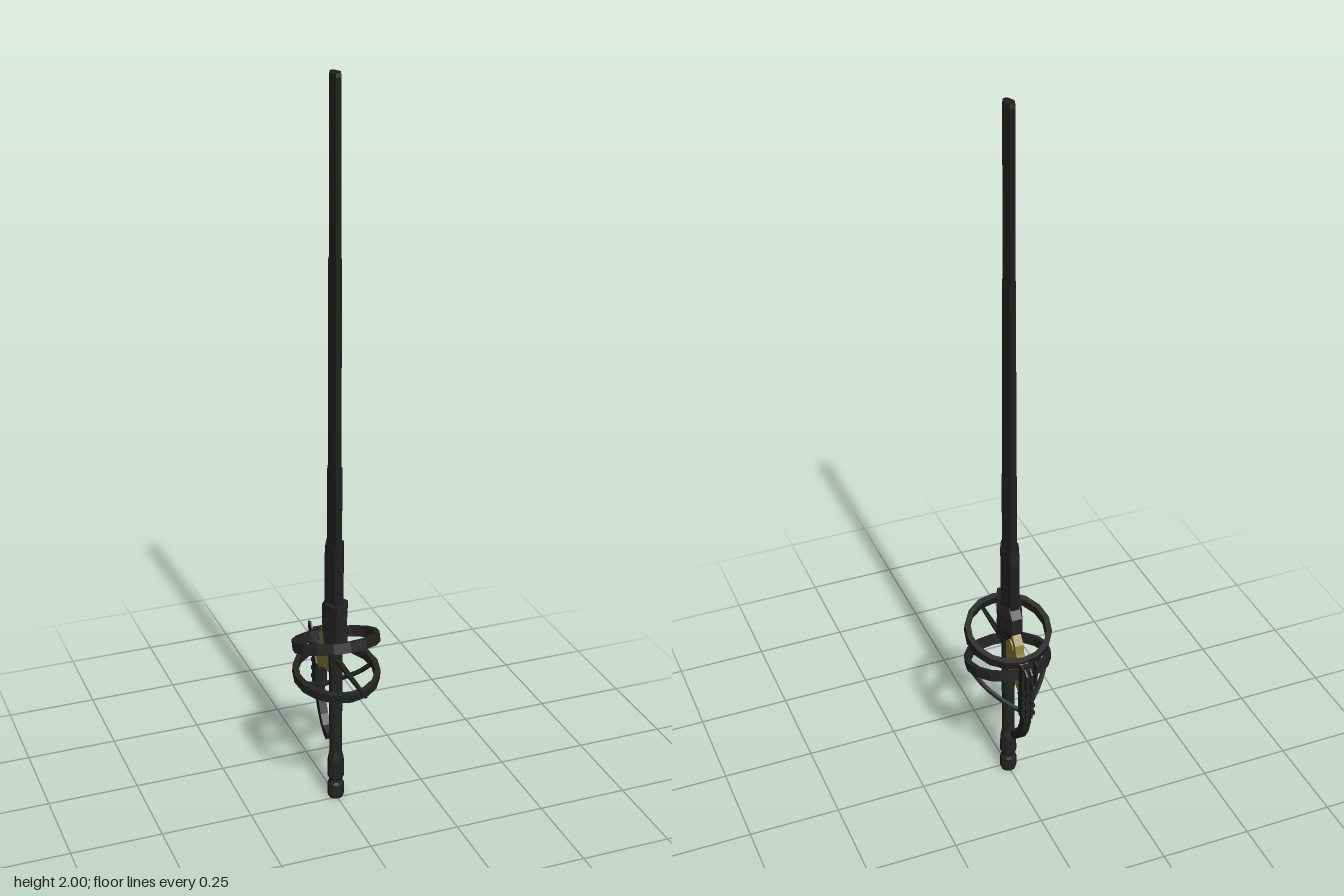
import * as THREE from 'three';

const dark = new THREE.MeshStandardMaterial({ color: 0x232323 });
dark.name = 'blackened steel';
dark.flatShading = true;
const scabbardBlack = new THREE.MeshStandardMaterial({ color: 0x1e1e1e });
scabbardBlack.name = 'scabbard black';
scabbardBlack.flatShading = true;
const gold = new THREE.MeshStandardMaterial({ color: 0x8f8138 });
gold.name = 'old brass';
gold.flatShading = true;

// Hexagonal loft up the y axis; sections are [y, halfWidth, frontZ, backZ]
function hexLoft(sections) {
  const pos = [], idx = [];
  for (const [y, w, f, b] of sections) {
    const c = (f + b) / 2, n = w * 0.42;
    pos.push(w, y, c, n, y, f, -n, y, f, -w, y, c, -n, y, b, n, y, b);
  }
  const last = (sections.length - 1) * 6;
  for (let s = 0; s < last; s += 6) {
    for (let i = 0; i < 6; i++) {
      const j = (i + 1) % 6;
      idx.push(s + i, s + 6 + i, s + j, s + j, s + 6 + i, s + 6 + j);
    }
  }
  for (let i = 1; i < 5; i++) {
    idx.push(0, i, i + 1, last, last + i + 1, last + i);
  }
  const g = new THREE.BufferGeometry();
  g.setAttribute('position', new THREE.Float32BufferAttribute(pos, 3));
  g.setIndex(idx);
  g.computeVertexNormals();
  return g;
}

// Side outline of [z, y] points, extruded across x
function sidePlate(points, width, x = 0) {
  const shape = new THREE.Shape(points.map(([z, y]) => new THREE.Vector2(-z, y)));
  const g = new THREE.ExtrudeGeometry(shape, { depth: width, bevelEnabled: false });
  return g.translate(0, 0, -width / 2).rotateY(Math.PI / 2).translate(x, 0, 0);
}

// Flat hoop with a rectangular section
function hoop(outer, inner, height) {
  const h = height / 2;
  const profile = [[outer, -h], [outer, h], [inner, h], [inner, -h], [outer, -h]];
  return new THREE.LatheGeometry(profile.map(([r, y]) => new THREE.Vector2(r, y)), 16);
}

export function createModel() {
  const root = new THREE.Group();
  root.name = 'sheathedRapier';
  const add = (name, geometry, material = dark) => {
    const m = new THREE.Mesh(geometry, material);
    m.name = name;
    root.add(m);
    return m;
  };

  // Scabbard, stepping wider towards the hilt
  add('scabbard', hexLoft([
    [0.58, 0.027, 0.012, -0.058], [0.73, 0.027, 0.012, -0.058], [0.77, 0.026, 0.012, -0.05],
    [0.77, 0.021, 0.011, -0.05], [0.98, 0.021, 0.011, -0.047],
    [0.98, 0.019, 0.01, -0.047], [1.54, 0.018, 0.01, -0.041],
    [1.54, 0.016, 0.01, -0.04], [1.99, 0.016, 0.01, -0.037], [2, 0.014, 0.008, -0.035],
  ]), scabbardBlack);

  // Collar at the scabbard mouth
  add('collar', hexLoft([
    [0.48, 0.033, 0.03, -0.05], [0.5, 0.035, 0.034, -0.06], [0.52, 0.035, 0.034, -0.075],
    [0.565, 0.035, 0.034, -0.075], [0.6, 0.033, 0.033, -0.045],
  ]));

  // Grip with a turned pommel
  const turned = [[0, 0], [0.02, 0], [0.023, 0.008], [0.023, 0.042], [0.019, 0.05], [0.019, 0.058],
    [0.023, 0.065], [0.022, 0.12], [0.017, 0.145], [0.018, 0.3], [0.019, 0.5], [0, 0.5]];
  add('gripAndPommel', new THREE.LatheGeometry(
    turned.map(([r, y]) => new THREE.Vector2(r, y)), 10)).position.z = -0.012;

  // Two tilted guard hoops
  const upper = add('upperGuardRing', hoop(0.118, 0.103, 0.028));
  upper.position.set(0, 0.485, -0.01);
  upper.rotation.x = -0.31;
  const lower = add('lowerGuardRing', hoop(0.118, 0.103, 0.026));
  lower.position.set(0, 0.393, -0.007);
  lower.rotation.x = 0.19;

  // Tapered cross spike running front to back
  const quillon = add('frontQuillon', new THREE.CylinderGeometry(0.005, 0.009, 0.21, 6));
  quillon.rotation.x = Math.PI / 2;
  quillon.position.set(0, 0.43, 0.102);
  const spike = add('backSpike', new THREE.CylinderGeometry(0.002, 0.005, 0.1, 5));
  spike.rotation.x = -Math.PI / 2;
  spike.position.set(0, 0.43, -0.157);

  // Curved arms sweeping from the lower hoop down to the lever
  for (const s of [-1, 1]) {
    const path = new THREE.CatmullRomCurve3([
      new THREE.Vector3(s * 0.108, 0.385, -0.025), new THREE.Vector3(s * 0.085, 0.35, -0.055),
      new THREE.Vector3(s * 0.045, 0.315, -0.095), new THREE.Vector3(0, 0.287, -0.125),
    ]);
    add('guardArm', new THREE.TubeGeometry(path, 8, 0.007, 5));
  }

  // Brass lock behind the grip
  add('lockBody', sidePlate([
    [-0.02, 0.38], [-0.02, 0.49], [-0.035, 0.512], [-0.07, 0.512], [-0.09, 0.49],
    [-0.095, 0.465], [-0.135, 0.45], [-0.135, 0.37], [-0.11, 0.352], [-0.08, 0.37],
  ], 0.024), gold);
  const pivot = add('lockPivot', new THREE.CylinderGeometry(0.018, 0.018, 0.032, 10), gold);
  pivot.rotation.z = Math.PI / 2;
  pivot.position.set(0, 0.475, -0.06);

  // Dark frame behind the lock, with upright fins
  add('backFrame', sidePlate([
    [-0.125, 0.285], [-0.12, 0.36], [-0.132, 0.38], [-0.132, 0.46], [-0.147, 0.46],
    [-0.15, 0.29],
  ], 0.034));
  for (const x of [-0.02, -0.007, 0.007, 0.02]) {
    const side = Math.abs(x) > 0.01;
    add('frameFin', sidePlate(side
      ? [[-0.138, 0.39], [-0.138, 0.46], [-0.15, 0.475], [-0.165, 0.47], [-0.16, 0.39]]
      : [[-0.138, 0.29], [-0.138, 0.46], [-0.163, 0.44], [-0.16, 0.29]], 0.005, x));
  }
  for (let i = 0; i < 4; i++) {
    add('frameRib', new THREE.BoxGeometry(0.036, 0.01, 0.014)).position.set(0, 0.305 + i * 0.025, -0.15);
  }

  // Curved lever hooking forward beneath the lock
  add('lever', sidePlate([
    [-0.125, 0.3], [-0.12, 0.255], [-0.1, 0.21], [-0.08, 0.185], [-0.055, 0.175], [-0.06, 0.152],
    [-0.078, 0.158], [-0.105, 0.182], [-0.13, 0.22], [-0.148, 0.27], [-0.15, 0.3],
  ], 0.022));
  return root;
}
